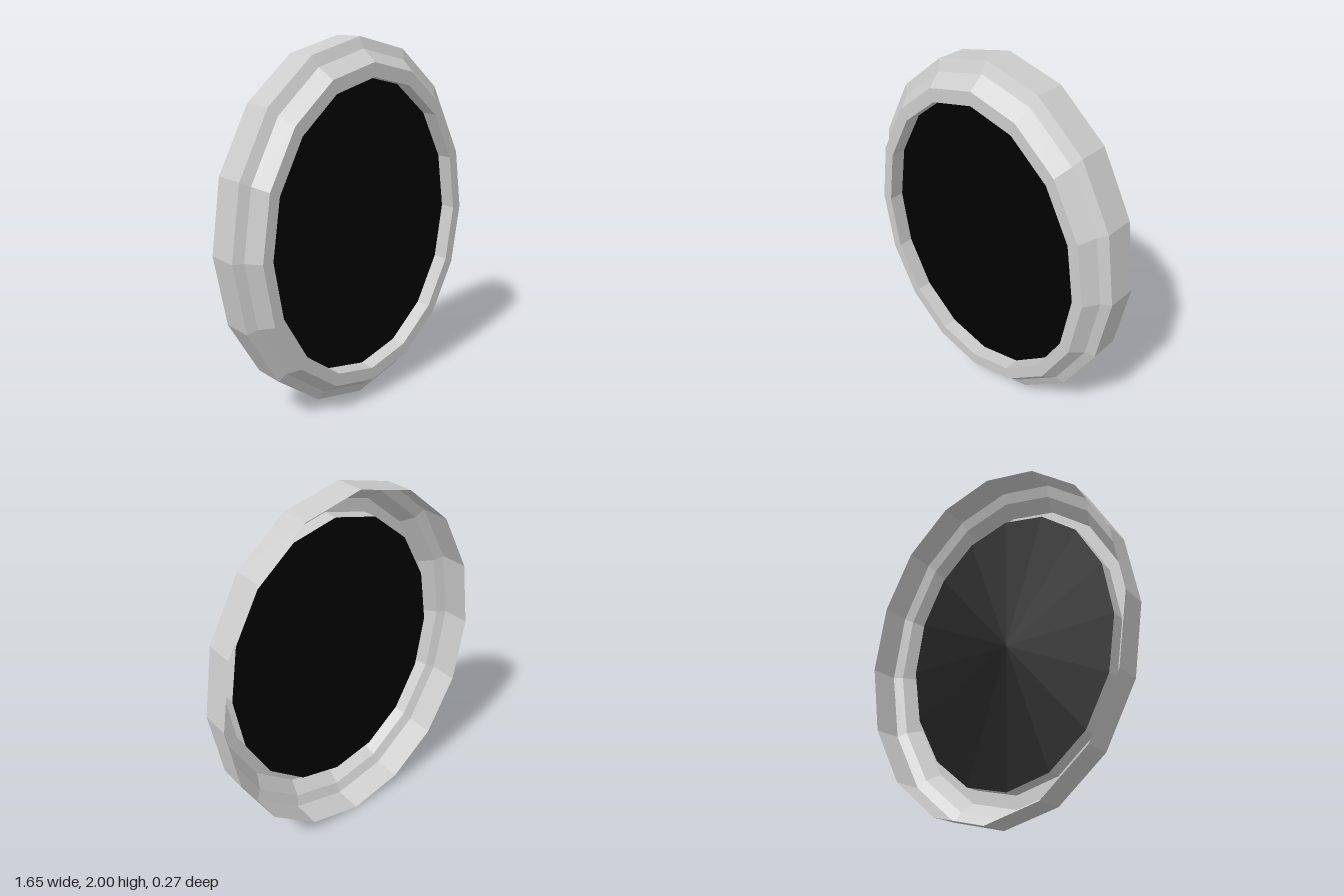
import * as THREE from 'three';

const SIDES = 16;
const HALF_WIDTH = 0.824;
const ASPECT = 1 / HALF_WIDTH; // height of the oval relative to its width

export function createModel() {
  const group = new THREE.Group();
  group.name = 'ovalMirror';

  // Frame: hollow shell swept round the oval, [half-width, z] from the back edge to the glass
  const profile = [
    [HALF_WIDTH, -0.135],
    [HALF_WIDTH, 0.028],
    [0.775, 0.055],
    [0.725, 0.135],
    [0.665, 0.135],
    [0.665, 0.05],
  ].map(([r, z]) => new THREE.Vector2(r, z));
  const frameGeometry = new THREE.LatheGeometry(profile, SIDES);
  frameGeometry.rotateX(Math.PI / 2);
  frameGeometry.scale(1, ASPECT, 1);
  const frame = new THREE.Mesh(
    frameGeometry,
    new THREE.MeshStandardMaterial({ color: 0xcccccc, flatShading: true, side: THREE.DoubleSide })
  );
  frame.name = 'frame';

  // Glass: dark oval pane set back behind the front rim
  const glassGeometry = new THREE.CircleGeometry(0.665, SIDES, Math.PI / 2);
  glassGeometry.scale(1, ASPECT, 1);
  const glass = new THREE.Mesh(
    glassGeometry,
    new THREE.MeshStandardMaterial({ color: 0x010101, side: THREE.DoubleSide })
  );
  glass.name = 'glass';
  glass.position.z = 0.05;

  group.add(frame, glass);
  // Stand the oval on the ground
  for (const part of group.children) part.position.y = 1;
  return group;
}
